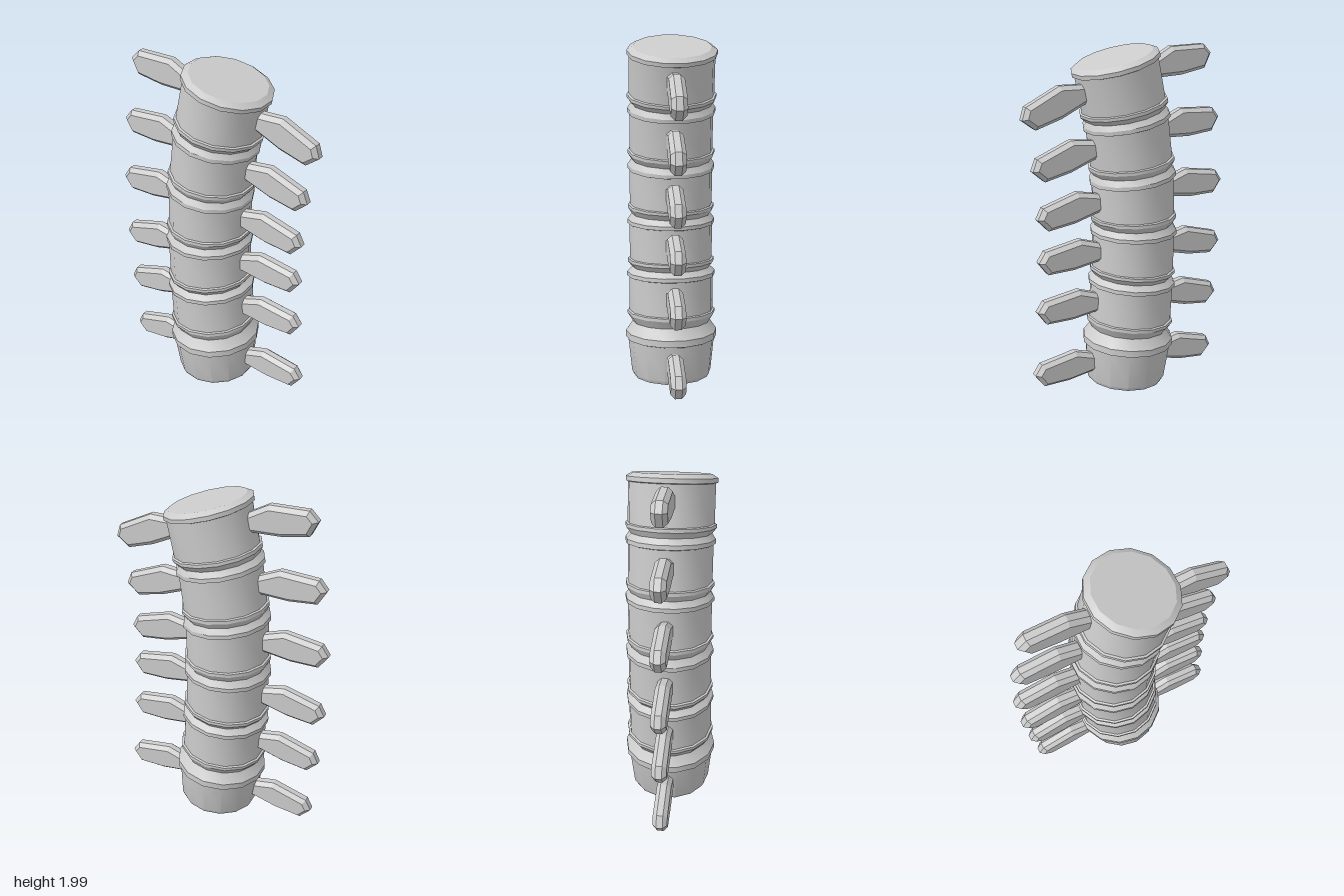
import * as THREE from 'three';
import { toCreasedNormals } from 'three/addons/utils/BufferGeometryUtils.js';

// Spine stations: height, sideways offset, tilt in degrees
const SPINE = [
  [0.02, 0.02, 4], [0.3, 0, 4.3], [0.4, -0.01, 5.4], [0.72, -0.03, 5],
  [0.95, -0.037, 1.6], [1.04, -0.035, -0.9], [1.28, -0.03, -6.2], [1.36, -0.02, -7],
  [1.6, 0.01, -10.5], [1.67, 0.027, -11.5], [1.95, 0.085, -15],
];

function spineAt(y) {
  let i = 1;
  while (i < SPINE.length - 1 && SPINE[i][0] < y) i++;
  const a = SPINE[i - 1], b = SPINE[i];
  const t = (y - a[0]) / (b[0] - a[0]);
  return {
    x: THREE.MathUtils.lerp(a[1], b[1], t),
    tilt: THREE.MathUtils.degToRad(THREE.MathUtils.lerp(a[2], b[2], t)),
  };
}

// Segments above the base: bottom, top, rim radius
const SEGMENTS = [
  [0.395, 0.645, 0.257], [0.705, 0.957, 0.252], [1.027, 1.28, 0.249],
  [1.345, 1.605, 0.248], [1.665, 1.925, 0.25],
];

// Column profile, from the underside up, with a rim at both ends of each segment
function columnProfile() {
  const p = [[0, 0.025], [0.224, 0.025], [0.234, 0.045], [0.255, 0.25], [0.268, 0.255], [0.268, 0.293], [0.258, 0.305]];
  let last = 0.305;
  for (const [lo, hi, r] of SEGMENTS) {
    p.push([0.227, (last + lo) / 2]);
    p.push([r, lo], [r, lo + 0.018], [r - 0.012, lo + 0.022]);
    p.push([r - 0.012, hi - 0.027], [r, hi - 0.023], [r, hi]);
    last = hi;
  }
  p.push([0.217, 1.945], [0, 1.945]);
  return p.map(([r, y]) => new THREE.Vector2(r, y));
}

// Lathe the profile, then bend every ring along the spine
function columnGeometry() {
  const geo = new THREE.LatheGeometry(columnProfile(), 14);
  const pos = geo.attributes.position;
  for (let i = 0; i < pos.count; i++) {
    const x = pos.getX(i), y = pos.getY(i);
    const s = spineAt(y);
    pos.setX(i, s.x + x * Math.cos(s.tilt));
    pos.setY(i, y + x * Math.sin(s.tilt));
  }
  return toCreasedNormals(geo, THREE.MathUtils.degToRad(28));
}

// Flat bevelled blade pointing along +x (side = 1) or -x (side = -1)
function bladeGeometry(side) {
  const outline = [
    [-0.08, 0.045], [0, 0.058], [0.12, 0.09], [0.333, 0.042], [0.37, -0.02],
    [0.31, -0.093], [0.15, -0.083], [0, -0.052], [-0.08, -0.04],
  ];
  const shape = new THREE.Shape(outline.map(([x, y]) => new THREE.Vector2(x * side, y)));
  const geo = new THREE.ExtrudeGeometry(shape, {
    depth: 0.036, bevelEnabled: true, bevelSegments: 1,
    bevelThickness: 0.024, bevelSize: 0.022, bevelOffset: -0.022,
  });
  return geo.translate(0, 0, -0.018);
}

export function createModel() {
  const model = new THREE.Group();
  model.name = 'segmentedColumn';
  const smooth = new THREE.MeshStandardMaterial({ color: 0xcccccc });
  const faceted = new THREE.MeshStandardMaterial({ color: 0xcccccc, flatShading: true });

  const column = new THREE.Mesh(columnGeometry(), smooth);
  column.name = 'column';
  model.add(column);

  // One pair of blades per segment
  const blades = { left: bladeGeometry(1), right: bladeGeometry(-1) };
  [0.152, 0.522, 0.835, 1.153, 1.482, 1.81].forEach((y, i) => {
    const s = spineAt(y);
    const pair = new THREE.Group();
    pair.name = `bladePair${i + 1}`;
    pair.position.set(s.x, y, 0);
    pair.rotation.z = s.tilt;
    for (const name of ['left', 'right']) {
      const blade = new THREE.Mesh(blades[name], faceted);
      blade.name = `${name}Blade`;
      blade.position.x = name === 'left' ? 0.236 : -0.236;
      pair.add(blade);
    }
    model.add(pair);
  });
  return model;
}
